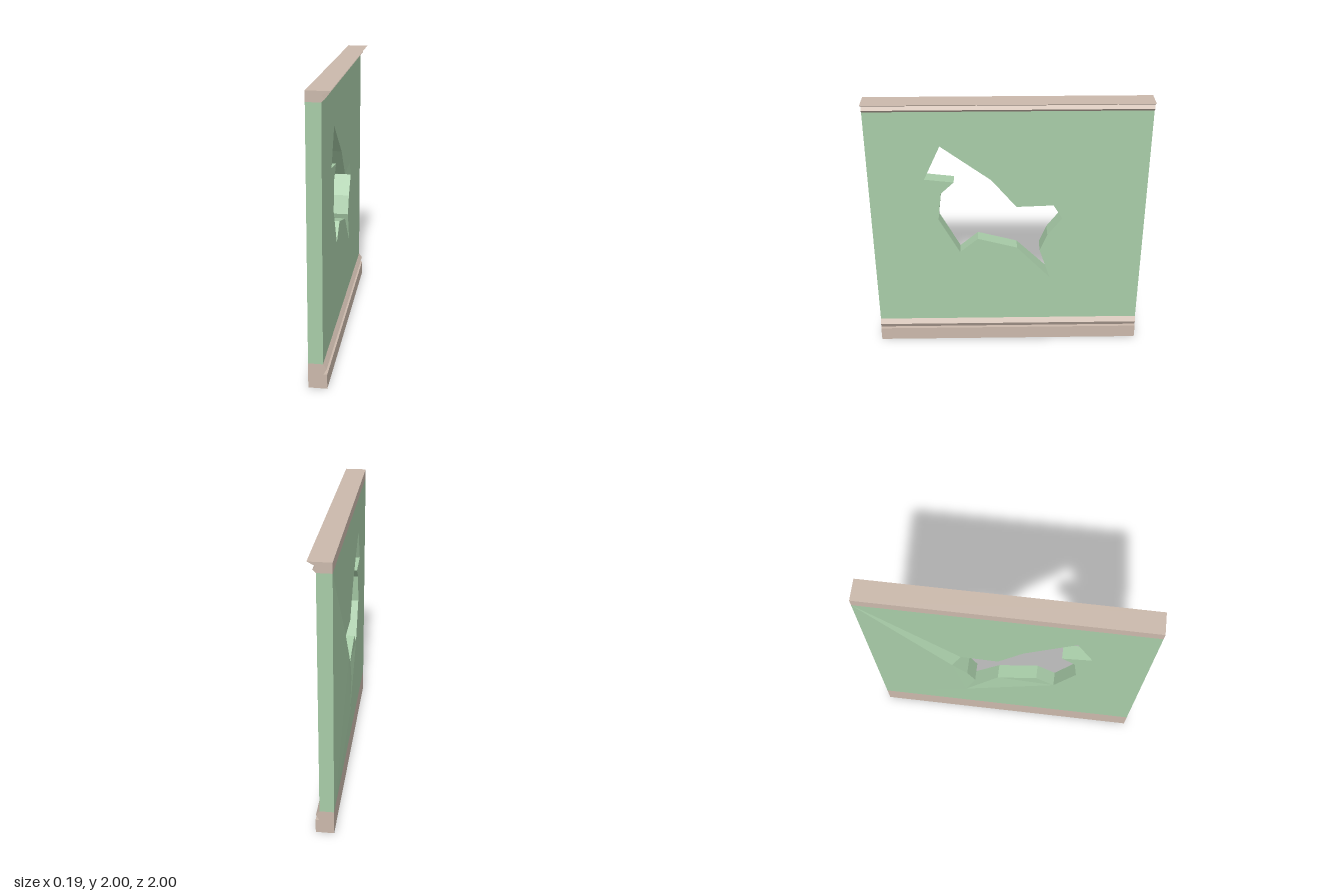
import * as THREE from 'three';

const FRONT = 0.035, BACK = -0.065, BULGE = -0.095, LOW = 0.18, HIGH = 1.93;

// outline of the breach, as [z, y]
const hole = [
  [0.48, 1.67], [0.12, 1.40], [-0.06, 1.18], [-0.33, 1.19], [-0.395, 1.08],
  [-0.29, 0.94], [-0.235, 0.805], [-0.315, 0.56], [-0.065, 0.83], [0.225, 0.91],
  [0.36, 0.795], [0.51, 1.08], [0.485, 1.295], [0.39, 1.385], [0.60, 1.41],
].map(([z, y]) => new THREE.Vector2(z, y));
const corners = [[1, LOW], [1, HIGH], [-1, HIGH], [-1, LOW]].map(([z, y]) => new THREE.Vector2(z, y));

// the plaster is pushed out on the back around these breach points
const pushed = new Set(hole.slice(4, 8));
const onFront = (p) => new THREE.Vector3(FRONT, p.y, p.x);
const onBack = (p) => new THREE.Vector3(pushed.has(p) ? BULGE : BACK, p.y, p.x);

function createPanel() {
  const positions = [];
  // adds a triangle, turned to face along the given direction
  const tri = (a, b, c, facing) => {
    const n = b.clone().sub(a).cross(c.clone().sub(a));
    const order = n.dot(facing) < 0 ? [a, c, b] : [a, b, c];
    order.forEach((p) => positions.push(p.x, p.y, p.z));
  };
  const fill = (contour, holes, place, facing) => {
    const all = [contour, ...holes].flat();
    for (const t of THREE.ShapeUtils.triangulateShape(contour, holes)) {
      tri(...t.map((i) => place(all[i])), facing);
    }
  };
  const wall = (p, q, facing) => {
    tri(onFront(p), onFront(q), onBack(q), facing);
    tri(onFront(p), onBack(q), onBack(p), facing);
  };
  const plusX = new THREE.Vector3(1, 0, 0), minusX = new THREE.Vector3(-1, 0, 0);
  const [c0, c1, c2, c3] = corners;

  // flat front face with the breach
  fill([...corners], [[...hole]], onFront, plusX);

  // flat part of the back face, running round the far side of the breach
  fill([c3, c0, c1, c2, hole[3], hole[2], hole[1], hole[0], ...hole.slice(10).reverse()], [], onBack, minusX);

  // bulging part of the back face
  const [D, E, F, G, H, I, J, K] = hole.slice(3, 11);
  [[D, E, c2], [E, c3, c2], [E, H, c3], [E, F, H], [F, G, H], [H, K, c3], [H, I, K], [I, J, K]]
    .forEach((t) => tri(...t.map(onBack), minusX));

  // broken edges inside the breach
  hole.forEach((p, i) => {
    const q = hole[(i + 1) % hole.length];
    wall(p, q, new THREE.Vector3(0, q.x - p.x, p.y - q.y));
  });

  // end faces
  wall(c0, c1, new THREE.Vector3(0, 0, 1));
  wall(c2, c3, new THREE.Vector3(0, 0, -1));

  const geometry = new THREE.BufferGeometry();
  geometry.setAttribute('position', new THREE.Float32BufferAttribute(positions, 3));
  geometry.computeVertexNormals();
  return geometry;
}

// moulding profile in x, y run along the full length of the wall
function createTrim(profile) {
  const shape = new THREE.Shape(profile.map(([x, y]) => new THREE.Vector2(x, y)));
  return new THREE.ExtrudeGeometry(shape, { depth: 2, bevelEnabled: false }).translate(0, 0, -1);
}

export function createModel() {
  const group = new THREE.Group();
  group.name = 'brokenWall';
  const plaster = new THREE.MeshStandardMaterial({ color: 0xa8cca8, flatShading: true });
  const wood = new THREE.MeshStandardMaterial({ color: 0xcbb9ac, flatShading: true });
  const add = (name, geometry, material) => {
    const mesh = new THREE.Mesh(geometry, material);
    mesh.name = name;
    group.add(mesh);
  };

  add('wallPanel', createPanel(), plaster);
  add('baseboard', createTrim([
    [BACK, 0], [0.063, 0], [0.063, 0.105], [0.038, 0.105], [0.06, 0.145], [FRONT, LOW], [BACK, LOW],
  ]), wood);
  add('crownMoulding', createTrim([
    [BACK, HIGH], [FRONT, HIGH], [0.056, 1.95], [0.037, 1.974], [0.09, 2], [BACK, 2],
  ]), wood);
  return group;
}
